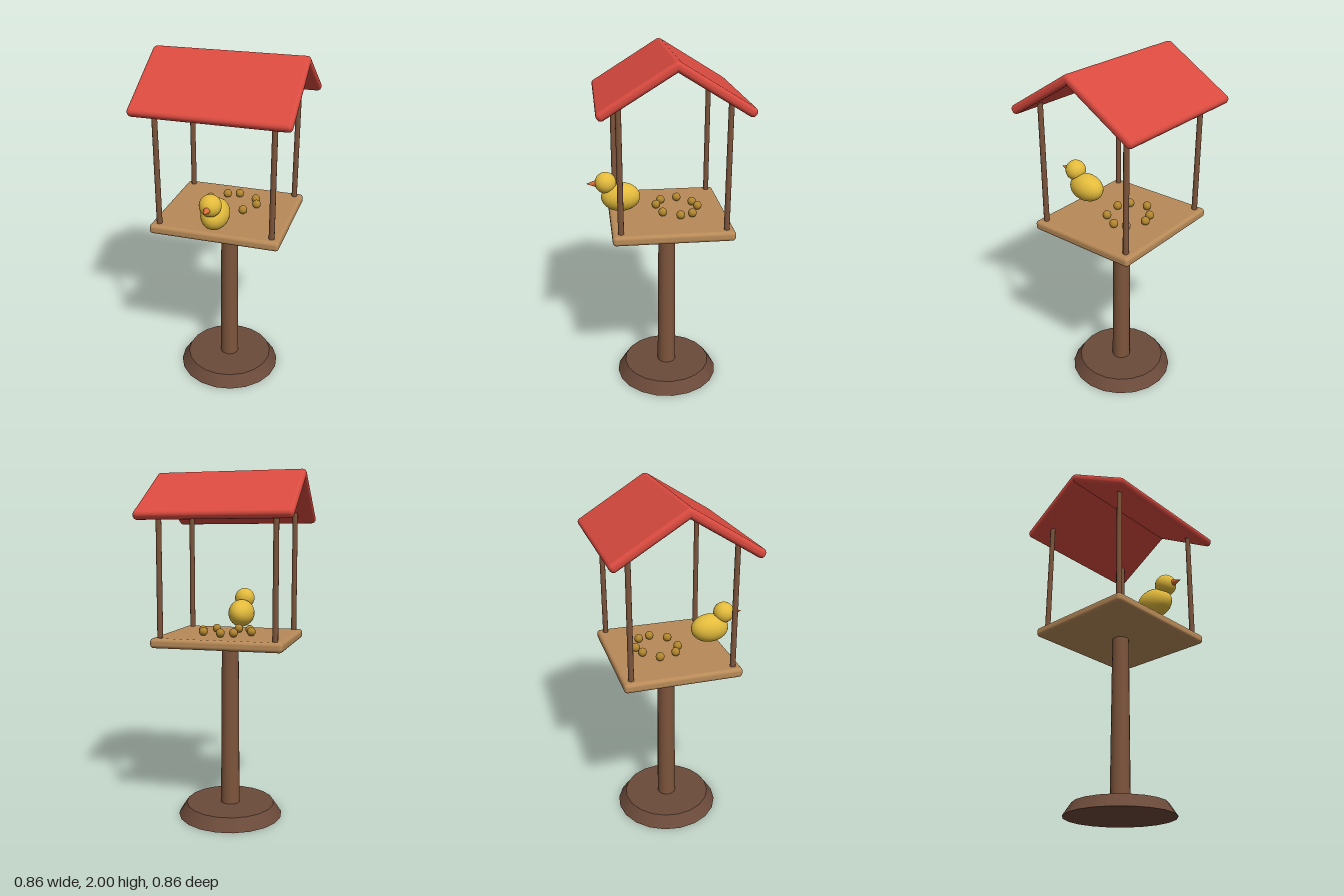
import * as THREE from 'three';
import { RoundedBoxGeometry } from 'three/addons/geometries/RoundedBoxGeometry.js';

const AXIS_Z = -0.03; // the feeder's centre line
const material = (color) => new THREE.MeshStandardMaterial({ color });

export function createModel() {
  const group = new THREE.Group();
  const roofRed = material(0xd94a3f);
  const darkWood = material(0x6b4a3a);
  const poleWood = material(0x7d553c);
  const trayWood = material(0xb88a58);
  const seedBrown = material(0xb0852f);
  const yellow = material(0xe3bb3c);
  const orange = material(0xd9703a);

  const add = (parent, name, geometry, mat, x, y, z) => {
    const mesh = new THREE.Mesh(geometry, mat);
    mesh.name = name;
    mesh.position.set(x, y, z);
    parent.add(mesh);
    return mesh;
  };

  // Foot, pole and tray
  add(group, 'base', new THREE.CylinderGeometry(0.26, 0.307, 0.07, 20), darkWood, 0, 0.035, AXIS_Z);
  add(group, 'pole', new THREE.CylinderGeometry(0.049, 0.056, 0.98, 16), poleWood, 0, 0.55, AXIS_Z);
  add(group, 'tray', new RoundedBoxGeometry(0.74, 0.055, 0.665, 4, 0.02), trayWood, 0, 1.0575, AXIS_Z);

  // Four corner posts
  const postGeometry = new THREE.CylinderGeometry(0.015, 0.016, 0.73, 10);
  for (const sx of [-1, 1]) {
    for (const sz of [-1, 1]) {
      add(group, 'post', postGeometry, poleWood, sx * 0.322, 1.43, AXIS_Z + sz * 0.286);
    }
  }

  // Two sloping roof panels meeting at the ridge
  const panelGeometry = new RoundedBoxGeometry(0.86, 0.05, 0.483, 4, 0.022);
  for (const side of [-1, 1]) {
    const panel = add(group, 'roofPanel', panelGeometry, roofRed, 0, 1.86, AXIS_Z + side * 0.189);
    panel.rotation.x = side * 0.55;
  }

  // Ring of seeds on the tray
  const seedGeometry = new THREE.SphereGeometry(0.025, 14, 10);
  const seeds = [
    [0.145, -0.09], [0.09, 0.005], [-0.036, 0.03], [-0.11, -0.005],
    [-0.142, -0.105], [-0.06, -0.185], [0.01, -0.207], [0.122, -0.16],
  ];
  for (const [x, z] of seeds) add(group, 'seed', seedGeometry, seedBrown, x, 1.108, z);

  // Bird at the front edge
  const bird = new THREE.Group();
  bird.name = 'bird';
  group.add(bird);
  const body = add(bird, 'body', new THREE.SphereGeometry(1, 24, 16), yellow, 0, 1.178, 0.236);
  body.scale.set(0.078, 0.083, 0.112);
  add(bird, 'head', new THREE.SphereGeometry(0.061, 24, 16), yellow, 0, 1.265, 0.32);
  const beak = add(bird, 'beak', new THREE.ConeGeometry(0.023, 0.065, 12), orange, 0, 1.262, 0.3975);
  beak.rotation.x = Math.PI / 2;

  return group;
}
